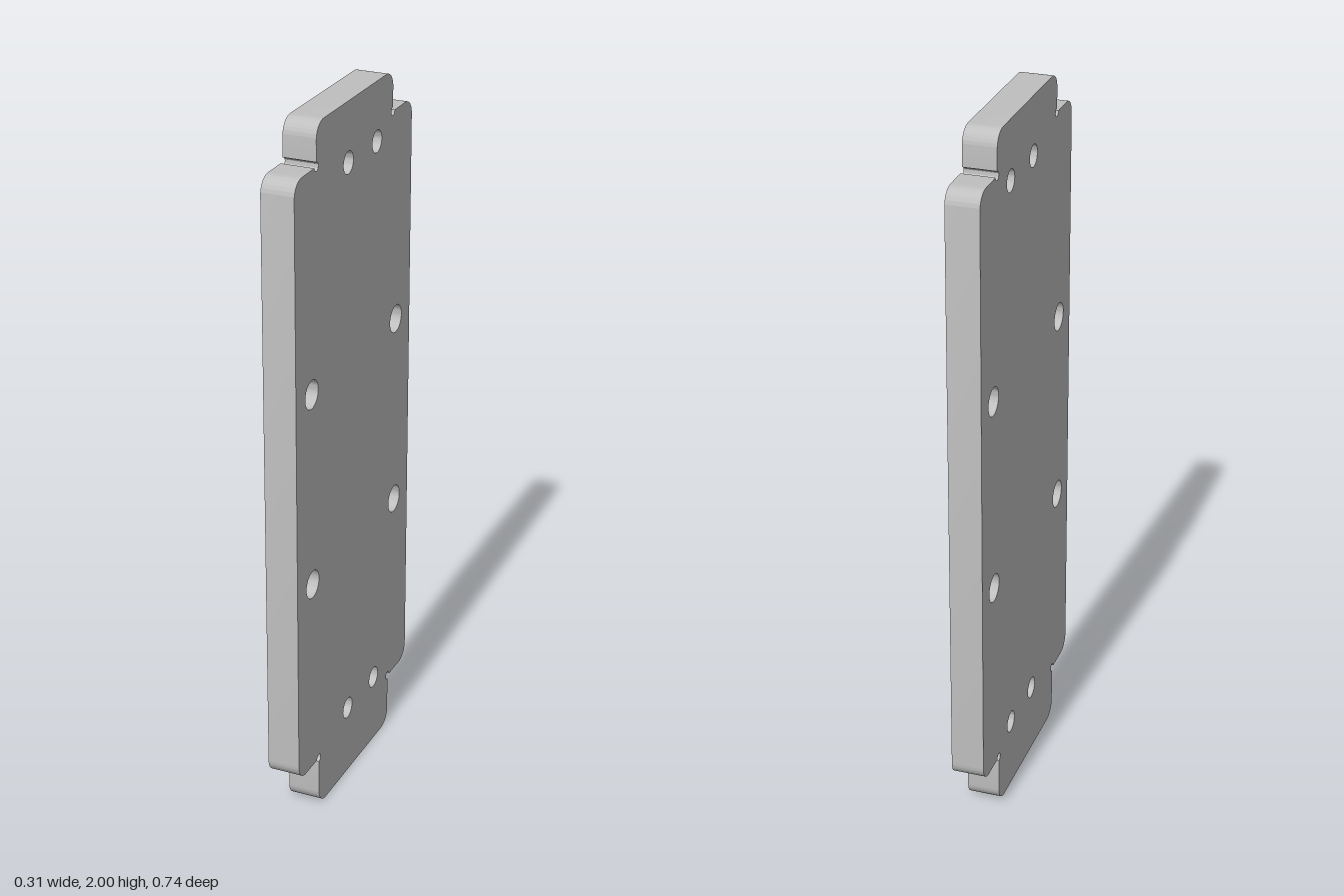
import * as THREE from 'three';
import { toCreasedNormals } from 'three/addons/utils/BufferGeometryUtils.js';

const BODY = 0.3735, TAB = 0.243;      // half widths
const LOW = 0.155, HIGH = 1.887, TOP = 2; // body bottom, body top, tab top
const R = 0.045, RELIEF = 0.012, THICK = 0.092;

export function createModel() {
  const group = new THREE.Group();
  group.name = 'mountingPlate';
  const metal = new THREE.MeshStandardMaterial({ color: 0xbfbfbf });
  metal.name = 'plain grey';

  // Outline, counter-clockwise: rounded outer corners, relief cuts at inner ones
  const outline = new THREE.Shape();
  const q = Math.PI / 2;
  const corner = (x, y, k) => outline.absarc(
    x - Math.sign(x) * R, y + (k === 0 || k === 1 ? -R : R), R, k * q, (k + 1) * q, false);
  const relief = (x, y, k) => outline.absarc(x, y, RELIEF, k * q, (k - 3) * q, true);

  corner(BODY, LOW, 3);
  corner(BODY, HIGH, 0);
  relief(TAB, HIGH, 0);
  corner(TAB, TOP, 0);
  corner(-TAB, TOP, 1);
  relief(-TAB, HIGH, 1);
  corner(-BODY, HIGH, 1);
  corner(-BODY, LOW, 2);
  relief(-TAB, LOW, 2);
  corner(-TAB, 0, 2);
  corner(TAB, 0, 3);
  relief(TAB, LOW, 3);
  outline.closePath();

  // Four large side holes and four smaller end holes
  const drill = (x, y, r) => {
    const hole = new THREE.Path();
    hole.absarc(x, y, r, 0, Math.PI * 2, true);
    outline.holes.push(hole);
  };
  for (const y of [0.724, 1.281]) for (const x of [-0.277, 0.277]) drill(x, y, 0.04);
  for (const y of [0.207, 1.836]) for (const x of [-0.138, 0.046]) drill(x, y, 0.031);

  const geometry = new THREE.ExtrudeGeometry(outline, {
    depth: THICK, bevelEnabled: false, curveSegments: 16,
  });
  geometry.translate(0, 0, -THICK / 2);
  geometry.clearGroups();

  const plate = new THREE.Mesh(toCreasedNormals(geometry, 0.6), metal);
  plate.name = 'plate';
  plate.rotation.y = -1.269; // plate stands turned about the vertical
  group.add(plate);
  return group;
}
